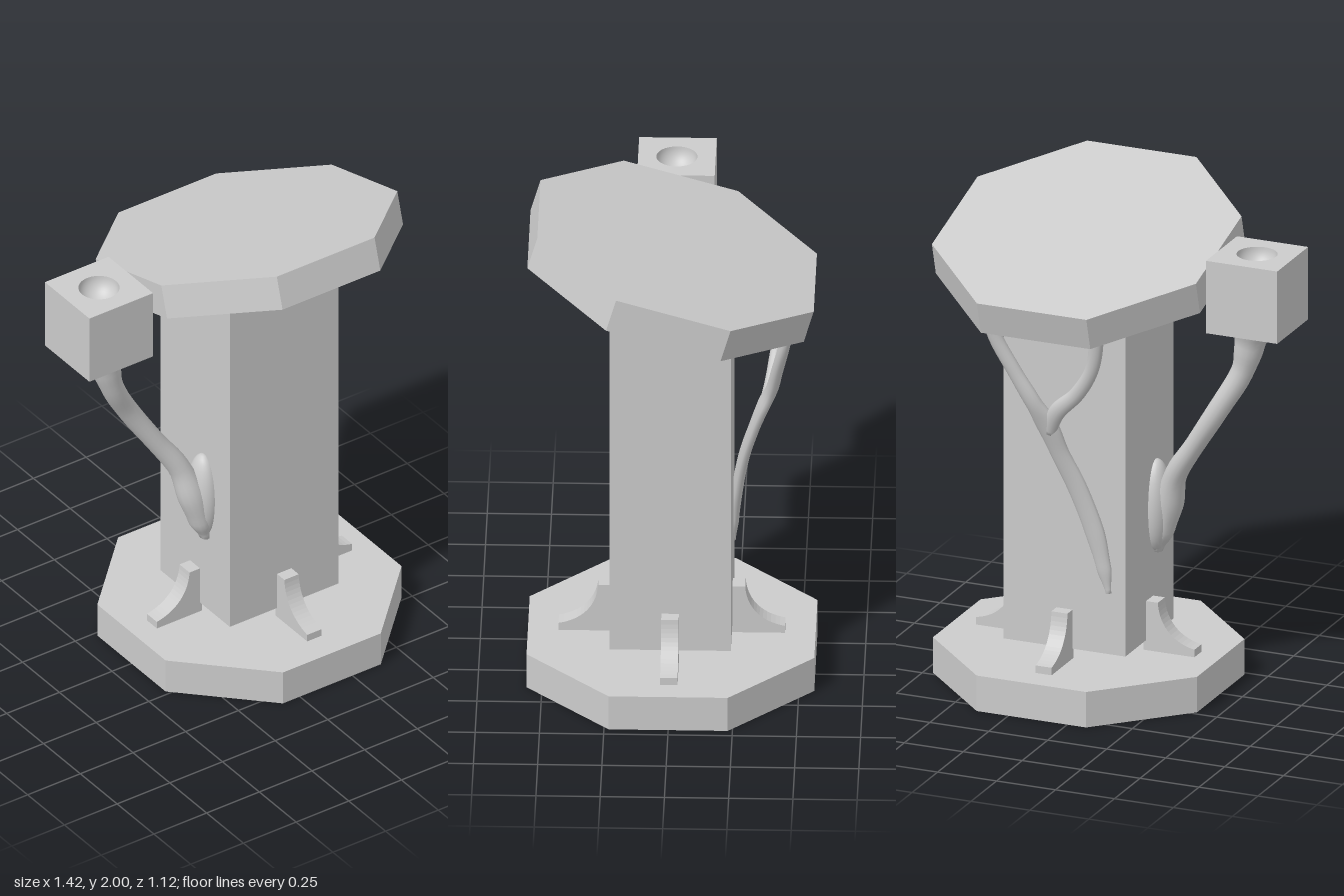
import * as THREE from 'three';

const grey = new THREE.MeshStandardMaterial({ color: 0xcccccc });
const CX = 0.152;            // pillar axis
const HX = 0.258, HZ = 0.236; // pillar half sizes
const TILT = 0.282;

function mesh(name, geometry, parent) {
  const m = new THREE.Mesh(geometry, grey);
  m.name = name;
  parent.add(m);
  return m;
}

// Octagonal tray, open underneath, with thin walls
function trayGeometry(height) {
  const r = 0.56 / Math.cos(Math.PI / 8), t = 0.015;
  const profile = [[0, height - t], [r - t, height - t], [r - t, 0], [r, 0], [r, height], [0, height]]
    .map(([x, y]) => new THREE.Vector2(x, y));
  const g = new THREE.LatheGeometry(profile, 8, Math.PI / 8).toNonIndexed();
  g.computeVertexNormals();
  return g;
}

// Organic limb: points are [x, y, z, half width, half thickness in z]
function limbGeometry(points, steps = 40, sides = 14) {
  const curve = new THREE.CatmullRomCurve3(points.map(p => new THREE.Vector3(p[0], p[1], p[2])));
  const pos = [], index = [];
  const size = (t, k) => {
    const f = t * (points.length - 1), i = Math.min(Math.floor(f), points.length - 2);
    return THREE.MathUtils.lerp(points[i][k], points[i + 1][k], THREE.MathUtils.smoothstep(f - i, 0, 1));
  };
  const zAxis = new THREE.Vector3(0, 0, 1);
  for (let i = 0; i <= steps; i++) {
    const t = i / steps, c = curve.getPoint(t), tan = curve.getTangent(t);
    const side = new THREE.Vector3().crossVectors(tan, zAxis).normalize();
    const up = new THREE.Vector3().crossVectors(side, tan).normalize();
    for (let j = 0; j < sides; j++) {
      const a = j / sides * Math.PI * 2;
      const v = c.clone().addScaledVector(side, Math.cos(a) * size(t, 3)).addScaledVector(up, Math.sin(a) * size(t, 4));
      pos.push(v.x, v.y, v.z);
    }
  }
  for (let i = 0; i < steps; i++) for (let j = 0; j < sides; j++) {
    const a = i * sides + j, b = i * sides + (j + 1) % sides;
    index.push(a, a + sides, b, b, a + sides, b + sides);
  }
  // end caps
  const last = steps * sides;
  for (let j = 1; j < sides - 1; j++) index.push(0, j, j + 1, last, last + j + 1, last + j);
  // reverse the winding so faces look outward
  for (let k = 0; k < index.length; k += 3) {
    const s = index[k + 1];
    index[k + 1] = index[k + 2];
    index[k + 2] = s;
  }
  const g = new THREE.BufferGeometry();
  g.setAttribute('position', new THREE.Float32BufferAttribute(pos, 3));
  g.setIndex(index);
  // check the winding by signed volume and flip when inside out
  let volume = 0;
  const v = k => new THREE.Vector3().fromArray(pos, index[k] * 3);
  for (let k = 0; k < index.length; k += 3) volume += v(k).dot(v(k + 1).cross(v(k + 2)));
  if (volume < 0) g.setIndex(index.map((_, k) => index[k - (k % 3) + 2 - (k % 3)]));
  g.computeVertexNormals();
  return g;
}

export function createModel() {
  const model = new THREE.Group();
  model.name = 'pedestal';

  // Base and tilted top
  mesh('base', trayGeometry(0.147), model).position.x = CX;
  const topTray = mesh('tiltedTop', trayGeometry(0.14).translate(0, -0.14, 0), model);
  topTray.position.set(CX, 1.845, -0.02);
  topTray.rotation.x = -TILT;

  // Pillar, its upper end cut along the tilt
  const pillar = new THREE.BoxGeometry(HX * 2, 1, HZ * 2);
  const p = pillar.attributes.position;
  for (let i = 0; i < p.count; i++) {
    p.setY(i, p.getY(i) < 0 ? 0.188 : 1.831 + (p.getZ(i) + 0.02) * Math.tan(TILT));
  }
  pillar.computeVertexNormals();
  mesh('pillar', pillar, model).position.x = CX;

  // Four curved brackets around the foot of the pillar
  const profile = new THREE.Shape();
  profile.moveTo(-0.01, 0.147);
  profile.lineTo(0.205, 0.147);
  profile.lineTo(0.205, 0.178);
  profile.bezierCurveTo(0.11, 0.195, 0.055, 0.26, 0.05, 0.35);
  profile.lineTo(-0.01, 0.35);
  profile.closePath();
  const bracket = new THREE.ExtrudeGeometry(profile, { depth: 0.068, bevelEnabled: false, curveSegments: 14 });
  bracket.translate(0, 0, -0.034);
  for (let i = 0; i < 4; i++) {
    const a = i * Math.PI / 2, reach = i % 2 ? HZ : HX;
    const b = mesh('footBracket', bracket, model);
    b.position.set(CX + Math.cos(a) * reach, 0, -Math.sin(a) * reach);
    b.rotation.y = a;
  }

  // Cup block: box without its lid, lid with a round hole, and the bowl
  const block = new THREE.Group();
  block.name = 'cupBlock';
  block.position.set(-0.562, 1.845, 0);
  model.add(block);
  const box = new THREE.BoxGeometry(0.302, 0.3, 0.302).translate(0, -0.15, 0);
  const faces = Array.from(box.index.array);
  faces.splice(12, 6);
  box.setIndex(faces);
  box.clearGroups();
  mesh('blockSides', box, block);
  const lid = new THREE.Shape([[-1, -1], [1, -1], [1, 1], [-1, 1]].map(([x, y]) => new THREE.Vector2(x * 0.151, y * 0.151)));
  lid.holes.push(new THREE.Path().absarc(0, 0, 0.08, 0, Math.PI * 2, true));
  mesh('blockTop', new THREE.ShapeGeometry(lid, 32).rotateX(-Math.PI / 2), block);
  const bowl = [];
  for (let i = 0; i <= 12; i++) {
    const a = i / 12 * Math.PI / 2;
    bowl.push(new THREE.Vector2(0.08 * Math.cos(a), -0.08 * Math.sin(a)));
  }
  mesh('bowl', new THREE.LatheGeometry(bowl, 64), block);

  // Arm carrying the cup block, with its root spread on the pillar
  mesh('sideArm', limbGeometry([
    [-0.545, 1.56, 0, 0.088, 0.08], [-0.53, 1.46, 0, 0.06, 0.055], [-0.5, 1.35, 0, 0.046, 0.045],
    [-0.41, 1.19, -0.02, 0.043, 0.04], [-0.295, 1.01, 0, 0.04, 0.04], [-0.205, 0.87, 0.03, 0.045, 0.045],
    [-0.165, 0.74, 0.06, 0.058, 0.055], [-0.135, 0.62, 0.07, 0.045, 0.05], [-0.112, 0.53, 0.07, 0.018, 0.03],
  ]), model);
  const root = mesh('armRoot', new THREE.SphereGeometry(1, 24, 16), model);
  root.scale.set(0.06, 0.19, 0.075);
  root.position.set(-0.11, 0.72, 0.06);

  // Forked branch on the back, holding the low edge of the top
  mesh('backTrunk', limbGeometry([
    [-0.035, 0.44, -0.236, 0.012, 0.008], [-0.015, 0.55, -0.24, 0.032, 0.018], [0.02, 0.7, -0.252, 0.042, 0.022],
    [0.08, 0.88, -0.28, 0.042, 0.022], [0.135, 1.02, -0.315, 0.04, 0.022], [0.175, 1.15, -0.355, 0.046, 0.024],
    [0.22, 1.25, -0.39, 0.034, 0.024], [0.29, 1.38, -0.415, 0.03, 0.023], [0.36, 1.53, -0.445, 0.03, 0.022],
    [0.385, 1.69, -0.475, 0.034, 0.022],
  ], 60), model);
  mesh('backFork', limbGeometry([
    [0.17, 1.12, -0.35, 0.03, 0.02], [0.12, 1.22, -0.38, 0.034, 0.022], [0.03, 1.31, -0.4, 0.03, 0.022],
    [-0.045, 1.43, -0.425, 0.028, 0.022], [-0.075, 1.56, -0.45, 0.03, 0.022], [-0.08, 1.69, -0.475, 0.034, 0.022],
  ]), model);

  return model;
}
